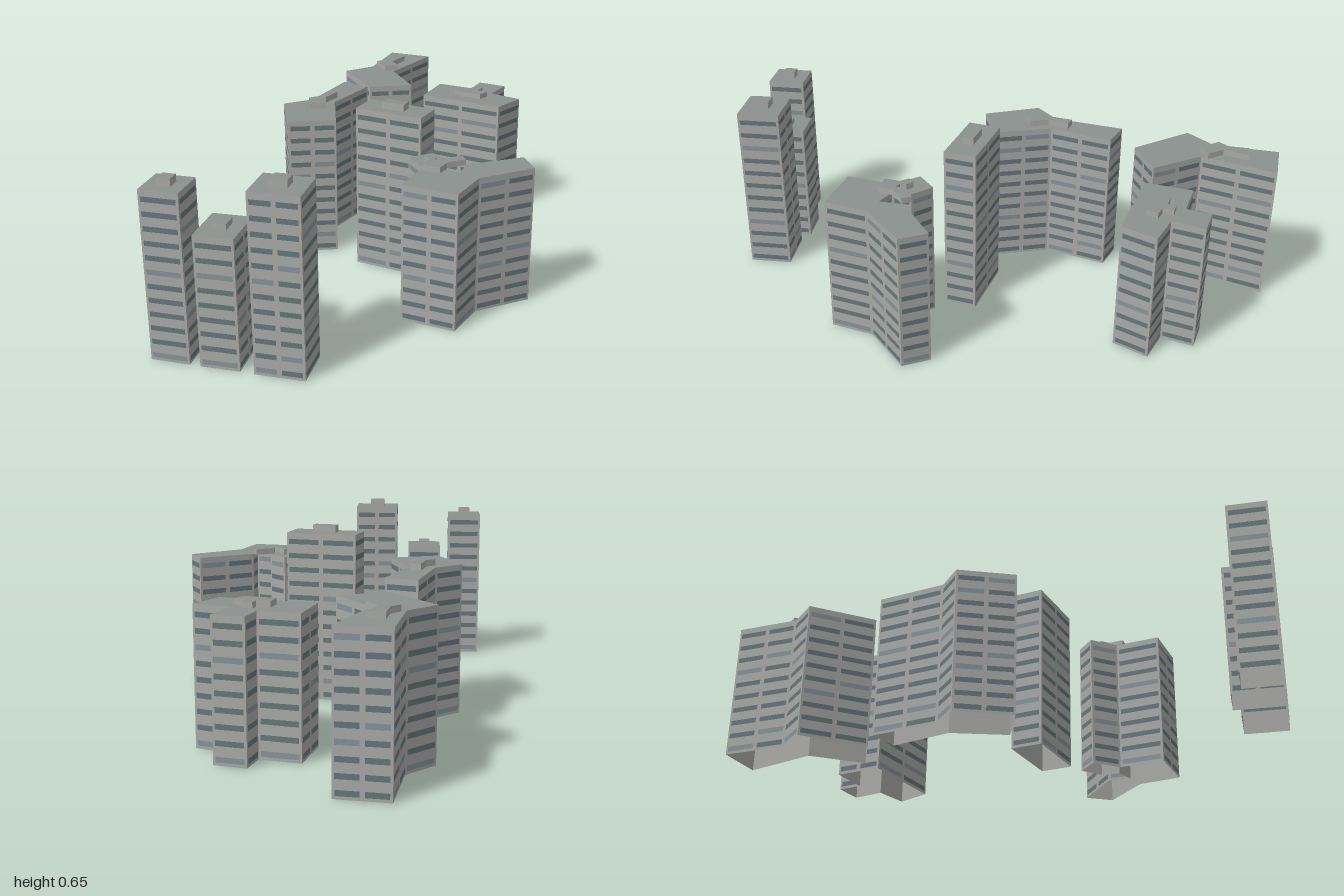
import * as THREE from 'three';
import { mergeGeometries } from 'three/addons/utils/BufferGeometryUtils.js';

const mat = (color, side = THREE.DoubleSide) =>
  new THREE.MeshStandardMaterial({ color, side, flatShading: true });
const wallMat = mat(0xa9aaa6);
const roofMat = mat(0x8b918e);
const darkGlass = mat(0x64777b, THREE.FrontSide);
const paleGlass = mat(0x84939a, THREE.FrontSide);

const FLOOR = 0.05;

// Footprints are [x, z] corners, clockwise seen from above
function rectangle([cx, cz], width, depth, angle) {
  const c = Math.cos(angle), s = Math.sin(angle);
  return [[-1, -1], [1, -1], [1, 1], [-1, 1]].map(([i, j]) => {
    const x = i * width / 2, z = j * depth / 2;
    return [cx + x * c - z * s, cz + x * s + z * c];
  });
}

// The roof hut repeats the footprint at a third of its size
const hutPlan = (plan, [cx, cz]) => plan.map(([x, z]) => [cx + (x - cx) / 3, cz + (z - cz) / 3]);

// Upright panel on the wall a-b, between fractions t0..t1, pushed outward by out
function panel(a, b, t0, t1, y0, y1, out = 0) {
  const dx = b[0] - a[0], dz = b[1] - a[1], len = Math.hypot(dx, dz);
  const t = (t0 + t1) / 2;
  return new THREE.PlaneGeometry(len * (t1 - t0), y1 - y0)
    .rotateY(Math.atan2(-dz, dx))
    .translate(a[0] + dx * t - (dz / len) * out, (y0 + y1) / 2, a[1] + dz * t + (dx / len) * out);
}

// Corner pairs running so that panels face outward
function edges(plan) {
  const p = [...plan].reverse();
  return p.map((a, i) => [a, p[(i + 1) % p.length]]);
}

function addMesh(group, name, geometries, material) {
  const mesh = new THREE.Mesh(mergeGeometries(geometries), material);
  mesh.name = name;
  group.add(mesh);
}

// Walls open at the bottom, with a flat roof
function addShell(group, prefix, plan, y0, y1) {
  addMesh(group, prefix + 'Walls', edges(plan).map(([a, b]) => panel(a, b, 0, 1, y0, y1)), wallMat);
  const shape = new THREE.Shape(plan.map(([x, z]) => new THREE.Vector2(x, -z)));
  addMesh(group, prefix + 'Roof', [new THREE.ShapeGeometry(shape).rotateX(-Math.PI / 2).translate(0, y1, 0)], roofMat);
}

// Rows of strip windows, in bays, some of them paler
function addWindows(group, plan, h) {
  const dark = [], pale = [];
  const floors = Math.round(h / FLOOR), step = h / floors;
  edges(plan).forEach(([a, b], wall) => {
    const len = Math.hypot(b[0] - a[0], b[1] - a[1]);
    const bays = len > 0.17 ? 2 : 1;
    const gap = 0.008 / len;
    for (let f = 0; f < floors; f++) {
      const y = f * step + step * 0.2;
      for (let k = 0; k < bays; k++) {
        const isPale = (f * 7 + wall * 3 + k * 5) % 6 === 0;
        (isPale ? pale : dark).push(panel(a, b, k / bays + gap, (k + 1) / bays - gap, y, y + 0.018, 0.001));
      }
    }
  });
  addMesh(group, 'windowStrips', dark, darkGlass);
  addMesh(group, 'paleWindowStrips', pale, paleGlass);
}

function building(name, height, centre, plan) {
  const block = new THREE.Group();
  block.name = name;
  addShell(block, 'main', plan, 0, height);
  addWindows(block, plan, height);
  addShell(block, 'roofHut', hutPlan(plan, centre), height, height * 1.042);
  return block;
}

const box = (name, height, centre, width, depth, angle) =>
  building(name, height, centre, rectangle(centre, width, depth, angle));

export function createModel() {
  const model = new THREE.Group();
  model.name = 'towerBlocks';

  // Rectangular blocks
  model.add(
    box('slabBlock', 0.613, [0.045, -0.03], 0.257, 0.117, -0.137),
    box('towerLeft', 0.592, [-0.165, 0.911], 0.133, 0.136, -0.35),
    box('towerMiddle', 0.46, [-0.013, 0.836], 0.134, 0.174, -0.37),
    box('towerRight', 0.624, [0.18, 0.778], 0.17, 0.154, -0.36),
  );

  // Bent blocks: a straight wing running into a wider head
  model.add(
    building('bentBlockBack', 0.5, [-0.505, -0.82],
      [[-0.6, -0.96], [-0.43, -1], [-0.43, -0.72], [-0.26, -0.6], [-0.385, -0.48], [-0.6, -0.61], [-0.545, -0.73]]),
    building('bentBlockMiddle', 0.53, [-0.366, -0.13],
      [[-0.455, -0.4], [-0.34, -0.4], [-0.33, -0.165], [-0.2, 0], [-0.335, 0.115], [-0.48, -0.04], [-0.42, -0.145]]),
  );

  // T-shaped block and block with three wings
  model.add(
    building('teeBlock', 0.47, [-0.033, -0.702],
      [[-0.09, -0.875], [0.02, -0.89], [0.025, -0.77], [0.155, -0.77],
        [0.135, -0.635], [-0.195, -0.595], [-0.22, -0.765], [-0.08, -0.785]]),
    building('threeWingBlock', 0.5, [0.288, 0.108],
      [[0.52, -0.125], [0.6, -0.055], [0.49, 0.13], [0.505, 0.29], [0.31, 0.325], [0.285, 0.16],
        [0.19, 0.1], [0.24, 0.02], [0.32, 0.06], [0.34, 0.125], [0.415, 0.13], [0.39, 0.05]]),
  );
  return model;
}
